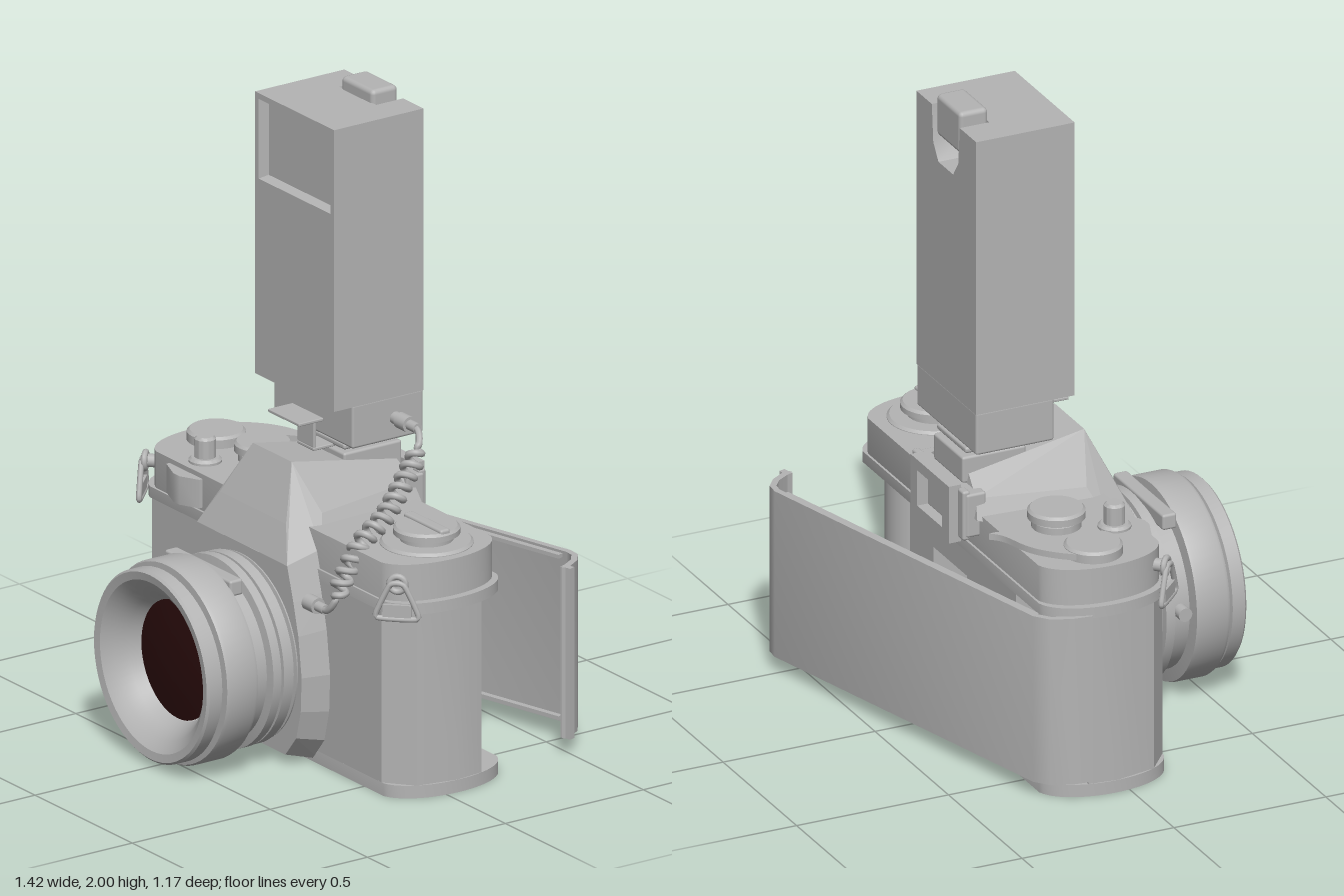
import * as THREE from 'three';
import { toCreasedNormals } from 'three/addons/utils/BufferGeometryUtils.js';
import { RoundedBoxGeometry } from 'three/addons/geometries/RoundedBoxGeometry.js';
import { ConvexGeometry } from 'three/addons/geometries/ConvexGeometry.js';

const grey = new THREE.MeshStandardMaterial({ color: 0xb4b4b4, side: THREE.DoubleSide });
grey.name = 'greyMetal';
const glass = new THREE.MeshStandardMaterial({ color: 0x2a0c0c });
glass.name = 'darkRedGlass';

const V = (x, y, z) => new THREE.Vector3(x, y, z);
const P = (x, y) => new THREE.Vector2(x, y);

export function createModel() {
  const model = new THREE.Group();
  model.name = 'filmCameraWithFlash';

  const add = (name, geo, x = 0, y = 0, z = 0, mat = grey, parent = model) => {
    const m = new THREE.Mesh(geo, mat);
    m.name = name;
    m.position.set(x, y, z);
    parent.add(m);
    return m;
  };
  const box = (name, x0, x1, y0, y1, z0, z1, r = 0.008) => add(name,
    new RoundedBoxGeometry(x1 - x0, y1 - y0, z1 - z0, 2, r), (x0 + x1) / 2, (y0 + y1) / 2, (z0 + z1) / 2);
  const extrude = (shape, depth) => toCreasedNormals(
    new THREE.ExtrudeGeometry(shape, { depth, bevelEnabled: false, curveSegments: 24 }), 0.6);
  // plan shapes are drawn as (x, -z) and rise from y0 to y1
  const plan = (name, shape, y0, y1) => add(name, extrude(shape, y1 - y0).rotateX(-Math.PI / 2), 0, y0, 0);
  // front shapes are drawn as (x, y) and run from z0 to z1
  const slab = (name, shape, z0, z1) => add(name, extrude(shape, z1 - z0), 0, 0, z0);
  const rect = (C, x0, x1, y0, y1) => new C([P(x0, y0), P(x1, y0), P(x1, y1), P(x0, y1)]);
  const hole = (x, y, r) => new THREE.Path().absarc(x, y, r, 0, Math.PI * 2, true);
  const lathe = (pts, n = 48) => toCreasedNormals(
    new THREE.LatheGeometry(pts.map(p => P(p[0], p[1])), n), 0.5);
  // thin bent sheet following a plan path
  const ribbon = (pts, t) => {
    const off = s => pts.map((p, i) => {
      const a = pts[Math.max(i - 1, 0)], b = pts[Math.min(i + 1, pts.length - 1)];
      const l = Math.hypot(b[0] - a[0], b[1] - a[1]);
      return P(p[0] - s * (b[1] - a[1]) / l, p[1] + s * (b[0] - a[0]) / l);
    });
    return new THREE.Shape([...off(t / 2), ...off(-t / 2).reverse()]);
  };
  // four-sided sloping bezel between two rectangles
  const bezel = (name, w, h, k, x, y, z, depth) => {
    const g = new THREE.CylinderGeometry(Math.SQRT1_2, Math.SQRT1_2 * k, depth, 4, 1, true)
      .rotateY(Math.PI / 4).rotateX(Math.PI / 2).scale(w, h, 1).toNonIndexed();
    g.computeVertexNormals();
    return add(name, g, x, y, z);
  };

  // Body plates and top cover
  const footprint = (k = 1) => {
    const s = new THREE.Shape(), c = 0.045, f = v => c + (v - c) * k, x = 0.6 * k, b = 0.735 * k;
    s.moveTo(x, f(-0.16));
    s.bezierCurveTo(b, f(-0.12), b, f(0.21), x, f(0.25));
    s.lineTo(-x, f(0.25));
    s.bezierCurveTo(-b, f(0.21), -b, f(-0.12), -x, f(-0.16));
    return s;
  };
  const base = footprint();
  base.holes.push(hole(0, 0.03, 0.024), hole(-0.45, 0.1, 0.035));
  plan('bottomPlate', base, 0, 0.04);
  add('rewindButton', new THREE.CylinderGeometry(0.02, 0.02, 0.03, 20), -0.45, 0.02, -0.1);
  plan('topCoverRim', footprint(), 0.58, 0.615);
  plan('topCover', footprint(0.965), 0.615, 0.73);

  // Body shell, open at the back
  const half = [[0.675, 0.13], [0.685, 0.04], [0.66, -0.085], [0.59, -0.145]];
  plan('bodyShell', ribbon([...half, ...half.map(p => [-p[0], p[1]]).reverse()], 0.03), 0.04, 0.58);
  const gate = rect(THREE.Shape, -0.36, 0.36, 0.04, 0.58);
  gate.holes.push(rect(THREE.Path, -0.2, 0.2, 0.17, 0.46));
  slab('filmGate', gate, -0.21, -0.1);
  box('innerBlock', -0.36, 0.36, 0.04, 0.58, -0.1, 0.14);
  add('filmCassette', new THREE.CylinderGeometry(0.11, 0.11, 0.44, 32), 0.53, 0.31, -0.09);
  add('cassetteSpool', new THREE.CylinderGeometry(0.04, 0.04, 0.54, 20), 0.53, 0.31, -0.09);
  add('takeUpSpool', new THREE.CylinderGeometry(0.07, 0.07, 0.54, 24), -0.5, 0.31, -0.08);

  // Open back door with pressure plate
  plan('backDoor', ribbon([[-0.69, 0.12], [-0.683, 0.18], [-0.66, 0.24], [-0.62, 0.272], [0.51, 0.575],
    [0.545, 0.572], [0.58, 0.545], [0.605, 0.505], [0.62, 0.485]], 0.02), 0.05, 0.59);
  for (const y of [0.06, 0.57])
    plan('doorRail', ribbon([[-0.6, 0.258], [0.5, 0.553]], 0.02), y, y + 0.012);
  plan('doorCatch', ribbon([[0.6, 0.49], [0.634, 0.5]], 0.02), 0.05, 0.59);
  plan('pressurePlate', ribbon([[-0.24, 0.322], [0.155, 0.428]], 0.01), 0.13, 0.51);
  plan('pressureSpring', ribbon([[-0.27, 0.345], [-0.1, 0.362], [0.05, 0.405], [0.17, 0.462]], 0.005), 0.2, 0.45);

  // Lens apron and prism housing
  const apron = [[0.25, 0.67], [0.285, 0.55], [0.312, 0.44], [0.33, 0.3], [0.325, 0.18], [0.3, 0.08], [0.24, 0.005]];
  const both = pts => pts.flatMap(p => [V(...p), V(-p[0], p[1], p[2])]);
  add('lensApron', new ConvexGeometry(both([
    ...apron.map(p => [p[0], p[1], 0.14]),
    ...apron.map(p => [p[0] * 0.93, 0.315 + (p[1] - 0.315) * 0.9, 0.25])])));
  add('prismHousing', new ConvexGeometry(both([
    [0.1, 0.9, 0.14], [0.1, 0.83, -0.24], [0.17, 0.74, 0.21], [0.232, 0.634, 0.25], [0.25, 0.67, 0.14],
    [0.2, 0.76, 0.1], [0.25, 0.62, 0.12], [0.2, 0.72, -0.26], [0.17, 0.78, -0.25]])));

  // Lens barrel, bowl and front glass
  const lens = lathe([[0.28, 0.2], [0.29, 0.255], [0.275, 0.258], [0.275, 0.266], [0.295, 0.27], [0.295, 0.305],
    [0.28, 0.307], [0.28, 0.313], [0.297, 0.316], [0.297, 0.345], [0.27, 0.35], [0.27, 0.405], [0.31, 0.41],
    [0.313, 0.42], [0.313, 0.51], [0.308, 0.52], [0.285, 0.522], [0.285, 0.53], [0.297, 0.534], [0.297, 0.575],
    [0.29, 0.582], [0.265, 0.578], [0.23, 0.55], [0.205, 0.515], [0.185, 0.48]], 64).rotateX(Math.PI / 2);
  add('lensBarrel', lens, 0, 0.315, 0);
  add('frontGlass', lathe([[0.187, 0.483], [0.12, 0.492], [0.06, 0.497], [0.0001, 0.498]]).rotateX(Math.PI / 2),
    0, 0.32, 0, glass);
  box('apertureTab', -0.17, 0.17, 0.55, 0.6, 0.365, 0.412);
  add('lensReleaseButton', new THREE.CylinderGeometry(0.022, 0.022, 0.05, 20).rotateZ(Math.PI / 2), -0.28, 0.33, 0.375);

  // Viewfinder eyepiece
  box('eyepieceBase', -0.18, 0.18, 0.66, 0.8, -0.285, -0.22);
  const eye = rect(THREE.Shape, -0.13, 0.13, 0.63, 0.815);
  eye.holes.push(rect(THREE.Path, -0.085, 0.085, 0.665, 0.78));
  slab('eyepieceFrame', eye, -0.32, -0.28);
  for (const s of [-1, 1]) box('eyepieceRail', s * 0.155 - 0.02, s * 0.155 + 0.02, 0.65, 0.81, -0.295, -0.27);

  // Accessory shoe and flash foot
  box('shoeBlock', -0.1, 0.1, 0.8, 0.885, -0.26, -0.05);
  box('shoePlate', -0.1, 0.1, 0.895, 0.915, -0.25, -0.05);
  box('flashFoot', -0.05, 0.05, 0.88, 0.94, -0.23, -0.07);
  box('bracketTop', -0.08, 0.08, 0.995, 1.005, 0.01, 0.1, 0.003);
  box('bracketStem', -0.042, 0.042, 0.9, 1.0, 0.01, 0.02, 0.003);
  box('bracketFoot', -0.042, 0.042, 0.89, 0.9, -0.06, 0.02, 0.003);

  // Flash head
  const flashFront = rect(THREE.Shape, -0.207, 0.2, 1.07, 1.96);
  flashFront.holes.push(rect(THREE.Path, -0.188, 0.181, 1.69, 1.942));
  slab('flashFront', flashFront, 0.02, 0.057);
  slab('flashCore', rect(THREE.Shape, -0.207, 0.2, 1.07, 1.96), -0.17, 0.02);
  slab('flashBack', new THREE.Shape([P(-0.207, 1.07), P(0.2, 1.07), P(0.2, 1.96), P(0.095, 1.96), P(0.085, 1.84),
    P(0.05, 1.79), P(-0.05, 1.79), P(-0.085, 1.84), P(-0.095, 1.96), P(-0.207, 1.96)]), -0.267, -0.17);
  box('flashBottom', -0.207, 0.2, 0.937, 1.075, -0.267, -0.01);
  box('flashLatch', -0.082, 0.082, 1.865, 2, -0.26, -0.165, 0.015);
  bezel('windowBezel', 0.369, 0.252, 1.13, -0.0035, 1.816, 0.044, 0.026).scale.set(1 / 1.13, 1 / 1.13, -1);
  slab('flashWindow', rect(THREE.Shape, -0.168, 0.161, 1.703, 1.929), 0.02, 0.034);

  // Controls on the top cover
  const dial = (name, x, z, r, y0, y1) => add(name,
    lathe([[0.0001, y0], [r, y0], [r, y1 - 0.008], [r - 0.008, y1], [0.0001, y1]]), x, 0, z);
  dial('advanceDial', -0.565, -0.055, 0.088, 0.72, 0.765);
  dial('speedDialBase', -0.345, -0.07, 0.075, 0.72, 0.76);
  dial('speedDial', -0.345, -0.07, 0.087, 0.76, 0.79);
  dial('shutterCollar', -0.43, 0.08, 0.05, 0.72, 0.745);
  dial('shutterButton', -0.43, 0.08, 0.032, 0.74, 0.81);
  dial('rewindBase', 0.51, -0.06, 0.14, 0.72, 0.74);
  dial('rewindStem', 0.51, -0.06, 0.08, 0.73, 0.765);
  dial('rewindKnob', 0.51, -0.06, 0.1, 0.76, 0.785);
  box('rewindCrank', 0.41, 0.605, 0.775, 0.795, -0.08, -0.045);
  const lever = new THREE.Shape();
  lever.moveTo(-0.63, 0.1);
  lever.bezierCurveTo(-0.5, 0.3, -0.42, 0.22, -0.362, 0.3);
  lever.bezierCurveTo(-0.35, 0.2, -0.47, 0.24, -0.477, 0.05);
  plan('advanceLever', lever, 0.735, 0.755);
  plan('shutterBracket', new THREE.Shape([P(-0.51, -0.14), P(-0.51, -0.165), P(-0.43, -0.195), P(-0.4, -0.195),
    P(-0.34, -0.165), P(-0.34, -0.14)]), 0.625, 0.715);

  // Strap lugs with triangular rings
  for (const s of [-1, 1]) {
    const lug = new THREE.Group();
    lug.name = s > 0 ? 'leftStrapLug' : 'rightStrapLug';
    lug.position.set(s * 0.64, 0.62, 0.135);
    lug.rotation.y = s * Math.PI / 4;
    const tri = new THREE.CatmullRomCurve3([V(-0.06, -0.045, 0.02), V(0.06, -0.045, 0.02), V(0.055, -0.01, 0.02),
      V(0.02, 0.06, 0.02), V(-0.02, 0.06, 0.02), V(-0.055, -0.01, 0.02)], true, 'catmullrom', 0.3);
    add('strapRing', new THREE.TubeGeometry(tri, 40, 0.009, 8, true), 0, 0, 0, grey, lug);
    add('ringGuard', new THREE.BoxGeometry(0.085, 0.04, 0.012), 0, -0.022, 0.02, grey, lug);
    add('eyelet', new THREE.TorusGeometry(0.024, 0.01, 8, 20), 0, 0.06, 0.012, grey, lug);
    add('lugPost', new THREE.CylinderGeometry(0.02, 0.02, 0.05, 16).rotateX(Math.PI / 2), 0, 0.06, -0.015, grey, lug);
    model.add(lug);
  }

  // Coiled flash cord with plugs
  const plug = (name, x, y, z) => {
    add(name, new THREE.CylinderGeometry(0.025, 0.025, 0.05, 20).rotateZ(Math.PI / 2), x, y, z);
    add(name + 'Tip', new THREE.CylinderGeometry(0.016, 0.016, 0.09, 16).rotateZ(Math.PI / 2), x + 0.02, y, z);
  };
  plug('flashPlug', 0.25, 1.005, -0.165);
  add('flashSocket', new THREE.CylinderGeometry(0.02, 0.02, 0.06, 16).rotateZ(Math.PI / 2), 0.21, 1.005, -0.165);
  plug('bodyPlug', 0.31, 0.53, 0.21);
  const cord = new THREE.CatmullRomCurve3([V(0.27, 1.005, -0.165), V(0.325, 1, -0.16), V(0.36, 0.96, -0.135),
    V(0.39, 0.88, -0.06), V(0.42, 0.8, 0.03), V(0.43, 0.74, 0.12), V(0.43, 0.65, 0.18), V(0.42, 0.57, 0.21),
    V(0.39, 0.535, 0.215), V(0.33, 0.53, 0.21)]);
  const N = 320, frames = cord.computeFrenetFrames(N), coil = [];
  for (let i = 0; i <= N; i++) {
    const t = i / N, a = t * Math.PI * 2 * 20;
    const r = 0.024 * THREE.MathUtils.smoothstep(t, 0.12, 0.2) * (1 - THREE.MathUtils.smoothstep(t, 0.8, 0.86));
    coil.push(cord.getPointAt(t).addScaledVector(frames.normals[i], r * Math.cos(a))
      .addScaledVector(frames.binormals[i], r * Math.sin(a)));
  }
  add('coiledCord', new THREE.TubeGeometry(new THREE.CatmullRomCurve3(coil), 640, 0.011, 7));

  return model;
}
